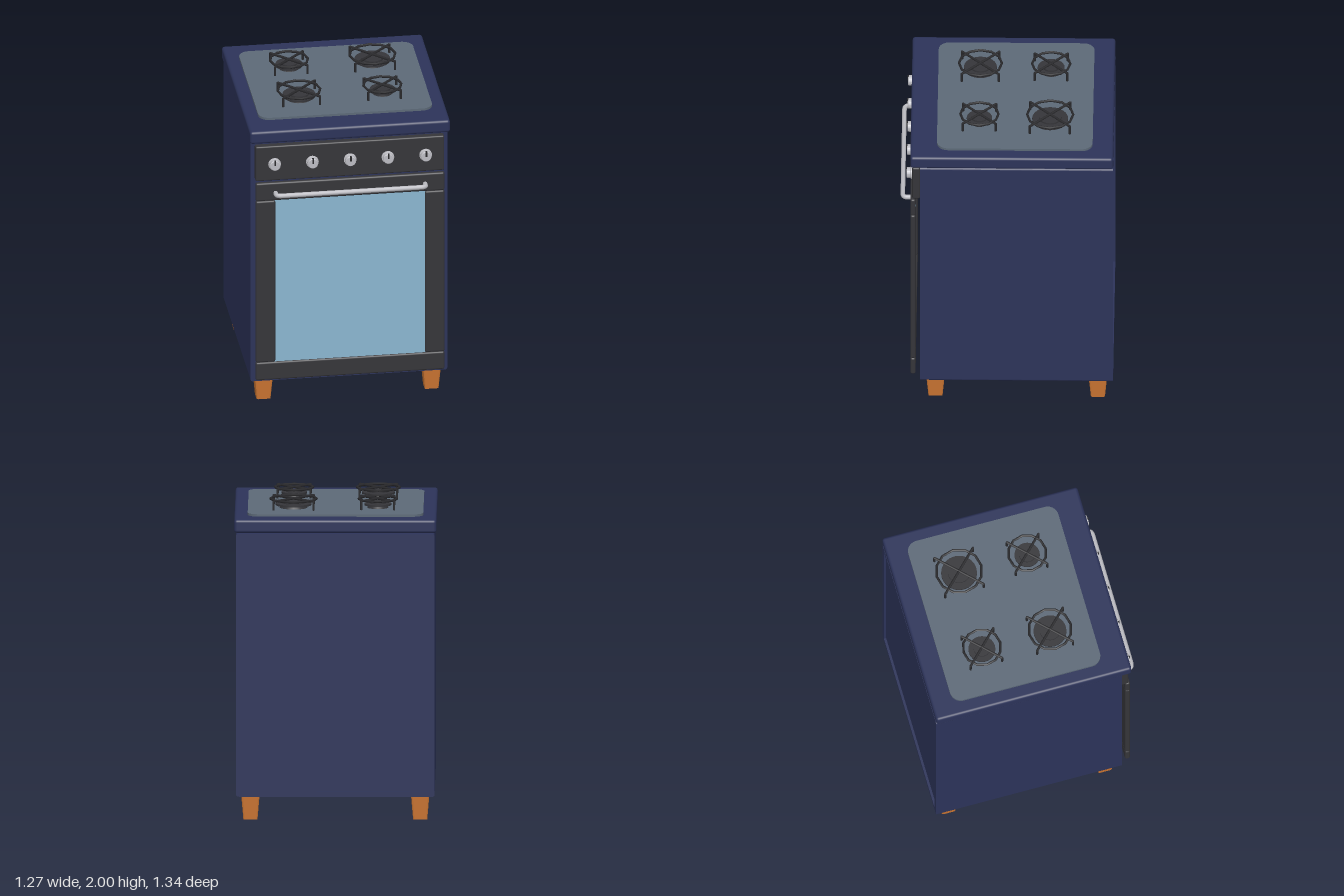
import * as THREE from 'three';
import { RoundedBoxGeometry } from 'three/addons/geometries/RoundedBoxGeometry.js';

const mat = (name, color) => {
  const m = new THREE.MeshStandardMaterial({ color });
  m.name = name;
  return m;
};

function roundedRect(w, h, r) {
  const s = new THREE.Shape(), x = w / 2, y = h / 2;
  s.moveTo(-x + r, -y);
  s.lineTo(x - r, -y).absarc(x - r, -y + r, r, -Math.PI / 2, 0);
  s.lineTo(x, y - r).absarc(x - r, y - r, r, 0, Math.PI / 2);
  s.lineTo(-x + r, y).absarc(-x + r, y - r, r, Math.PI / 2, Math.PI);
  s.lineTo(-x, -y + r).absarc(-x + r, -y + r, r, Math.PI, Math.PI * 1.5);
  return s;
}

export function createModel() {
  const root = new THREE.Group();
  root.name = 'stove';
  const navy = mat('navy enamel', 0x2c3359);
  const dark = mat('charcoal', 0x353539);
  const black = mat('black iron', 0x29292c);
  const glass = mat('blue glass', 0x8ab6d0);
  const hob = mat('slate glass', 0x5c6977);
  const steel = mat('steel', 0xbcbcc2);
  const wood = mat('orange wood', 0xcb7532);

  const add = (name, geo, material, x = 0, y = 0, z = 0, parent = root) => {
    const m = new THREE.Mesh(geo, material);
    m.name = name;
    m.position.set(x, y, z);
    parent.add(m);
    return m;
  };
  // Rounded box given by its limits on each axis
  const block = (name, material, [x0, x1], [y0, y1], [z0, z1], r) =>
    add(name, new RoundedBoxGeometry(x1 - x0, y1 - y0, z1 - z0, 3, r), material,
      (x0 + x1) / 2, (y0 + y1) / 2, (z0 + z1) / 2);

  // Cabinet with a recessed back panel
  const extrude = (shape, depth) =>
    new THREE.ExtrudeGeometry(shape, { depth, bevelEnabled: false, curveSegments: 5 });
  add('cabinet', extrude(roundedRect(1.25, 1.675, 0.015), 1.2), navy, 0, 0.9925, -0.655);
  const frame = roundedRect(1.25, 1.675, 0.015);
  const hole = new THREE.Path();
  hole.moveTo(-0.59, -0.805);
  hole.lineTo(-0.59, 0.79).lineTo(0.59, 0.79).lineTo(0.59, -0.805).closePath();
  frame.holes.push(hole);
  add('backFrame', extrude(frame, 0.015), navy, 0, 0.9925, -0.67);
  block('worktop', navy, [-0.636, 0.636], [1.835, 1.92], [-0.67, 0.606], 0.018);

  // Tapered feet with chamfered edges
  const foot = roundedRect(0.116, 0.116, 0.012);
  const footGeo = new THREE.ExtrudeGeometry(foot, { depth: 0.155, steps: 1, bevelEnabled: false, curveSegments: 1 });
  footGeo.rotateX(-Math.PI / 2);
  const fp = footGeo.attributes.position;
  for (let i = 0; i < fp.count; i++) {
    const k = 0.77 + 0.23 * fp.getY(i) / 0.155;
    fp.setX(i, fp.getX(i) * k);
    fp.setZ(i, fp.getZ(i) * k);
  }
  footGeo.computeVertexNormals();
  for (const x of [-0.534, 0.534]) for (const z of [0.448, -0.574]) add('foot', footGeo, wood, x, 0.002, z);

  // Control panel and knobs
  block('controlPanel', dark, [-0.6, 0.6], [1.57, 1.81], [0.545, 0.594], 0.01);
  const knobGeo = new THREE.LatheGeometry(
    [[0.04, 0], [0.04, 0.012], [0.034, 0.014], [0.034, 0.036], [0.03, 0.04], [0, 0.04]]
      .map(p => new THREE.Vector2(...p)), 20).toNonIndexed();
  knobGeo.computeVertexNormals();
  knobGeo.rotateX(Math.PI / 2);
  for (let i = -2; i <= 2; i++) {
    const knob = new THREE.Group();
    knob.name = 'knob';
    knob.position.set(i * 0.24, 1.688, 0.592);
    root.add(knob);
    add('knobBody', knobGeo, steel, 0, 0, 0, knob);
    add('knobMark', new THREE.BoxGeometry(0.01, 0.036, 0.008), black, 0, 0.021, 0.04, knob);
  }

  // Oven door
  const dz = [0.573, 0.606];
  block('doorTopRail', dark, [-0.6, 0.6], [1.435, 1.56], dz, 0.012);
  block('doorBottomRail', dark, [-0.6, 0.6], [0.186, 0.31], dz, 0.012);
  block('doorLeftStile', dark, [0.475, 0.6], [0.31, 1.435], dz, 0.012);
  block('doorRightStile', dark, [-0.6, -0.475], [0.31, 1.435], dz, 0.012);
  add('doorWindow', new THREE.BoxGeometry(0.96, 1.135, 0.014), glass, 0, 0.8725, 0.589);

  // Handle bent back into the door at both ends
  const handle = new THREE.CurvePath();
  const v = (x, z) => new THREE.Vector3(x, 1.49, z);
  handle.add(new THREE.LineCurve3(v(-0.475, 0.6), v(-0.475, 0.63)));
  handle.add(new THREE.QuadraticBezierCurve3(v(-0.475, 0.63), v(-0.475, 0.655), v(-0.44, 0.655)));
  handle.add(new THREE.LineCurve3(v(-0.44, 0.655), v(0.44, 0.655)));
  handle.add(new THREE.QuadraticBezierCurve3(v(0.44, 0.655), v(0.475, 0.655), v(0.475, 0.63)));
  handle.add(new THREE.LineCurve3(v(0.475, 0.63), v(0.475, 0.6)));
  add('handle', new THREE.TubeGeometry(handle, 160, 0.015, 10), steel);

  // Cooktop plate
  const plate = extrude(roundedRect(1.105, 0.98, 0.07), 0.015);
  plate.rotateX(-Math.PI / 2);
  add('cooktop', plate, hob, 0, 1.92, -0.05);

  // Burners with iron grates: x, z, ring radius, grate reach, disc radius, cap radius
  const burners = [
    [-0.265, -0.27, 0.12, 0.146, 0.085, 0.052],
    [0.265, -0.27, 0.145, 0.178, 0.113, 0.07],
    [-0.265, 0.175, 0.135, 0.166, 0.104, 0.064],
    [0.265, 0.175, 0.12, 0.146, 0.08, 0.052],
  ];
  for (const [x, z, ring, reach, disc, cap] of burners) {
    const g = new THREE.Group();
    g.name = 'burner';
    g.position.set(x, 1.935, z);
    root.add(g);
    const cyl = (name, r0, r1, y, h) =>
      add(name, new THREE.CylinderGeometry(r0, r1, h, 24), dark, 0, y, 0, g);
    cyl('burnerBase', disc * 0.72, disc * 0.78, 0.009, 0.018);
    cyl('burnerDisc', disc, disc, 0.022, 0.012);
    cyl('burnerCap', cap, cap, 0.033, 0.012);
    const torus = new THREE.TorusGeometry(ring, 0.008, 6, 12);
    torus.rotateX(Math.PI / 2);
    add('grateRing', torus, black, 0, 0.056, 0, g);
    for (const a of [Math.PI / 4, -Math.PI / 4]) {
      const bar = new THREE.CylinderGeometry(0.008, 0.008, reach * 2, 6);
      bar.rotateZ(Math.PI / 2);
      add('grateBar', bar, black, 0, 0.057, 0, g).rotation.y = a;
      for (const s of [-1, 1])
        add('grateLeg', new THREE.CylinderGeometry(0.008, 0.008, 0.06, 6), black,
          s * reach * Math.cos(a), 0.03, -s * reach * Math.sin(a), g);
    }
  }
  return root;
}
